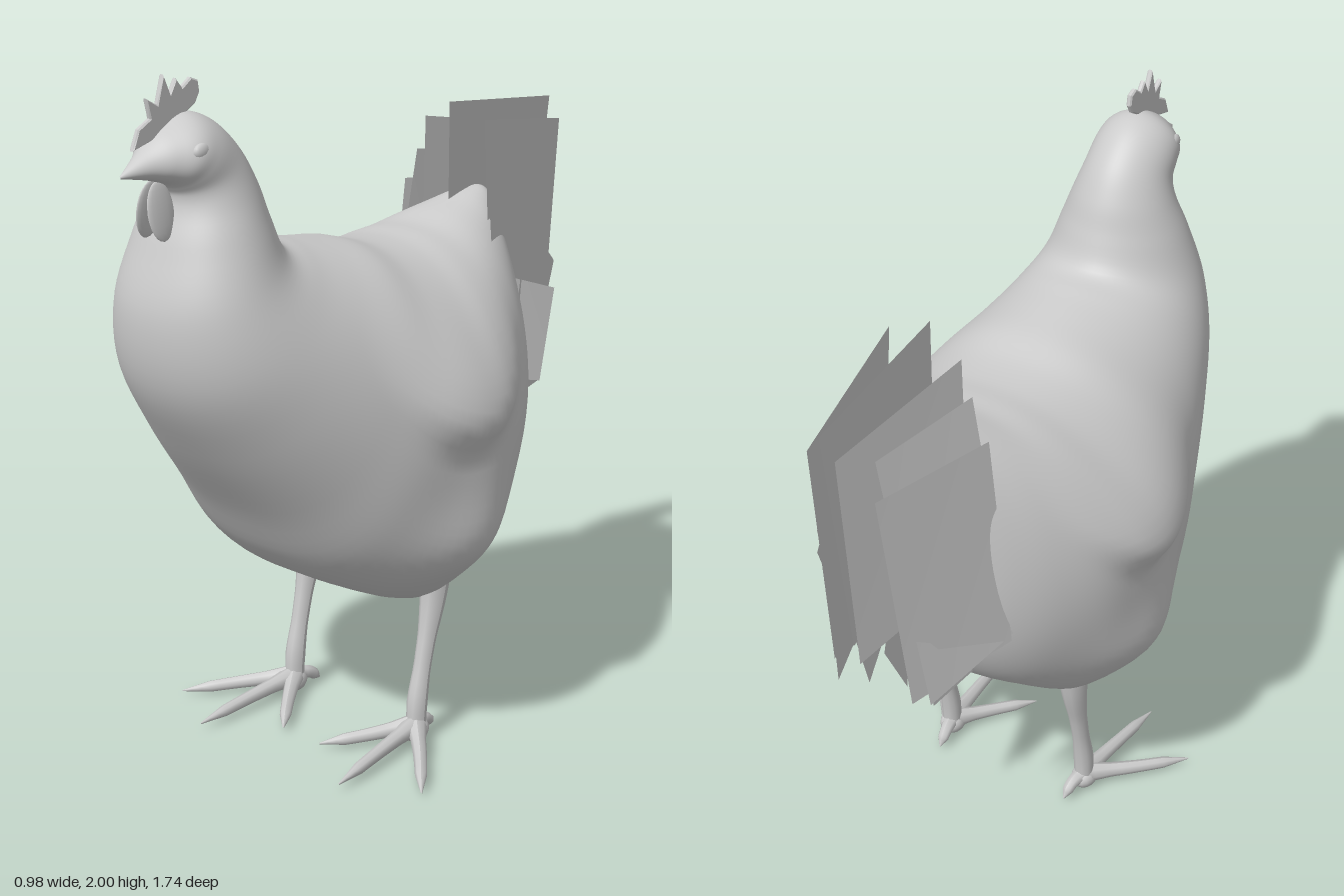
import * as THREE from 'three';

const V = (x, y, z) => new THREE.Vector3(x, y, z);
const bell = t => Math.exp(-t * t);
const smoothstep = THREE.MathUtils.smoothstep;

function part(parent, name, geometry, color = 0xcccccc, side = THREE.FrontSide) {
  const mesh = new THREE.Mesh(geometry, new THREE.MeshStandardMaterial({ color, side }));
  mesh.name = name;
  parent.add(mesh);
  return mesh;
}

// Slices from tail to beak: back z, back y, belly z, belly y, half width
const SLICES = [
  [-0.56, 1.48, -0.555, 1.46, 0.01],
  [-0.525, 1.495, -0.52, 1.32, 0.075],
  [-0.47, 1.49, -0.49, 1.05, 0.165],
  [-0.40, 1.475, -0.44, 0.80, 0.26],
  [-0.33, 1.46, -0.34, 0.63, 0.34],
  [-0.25, 1.44, -0.17, 0.53, 0.41],
  [-0.18, 1.435, 0.00, 0.49, 0.435],
  [-0.10, 1.43, 0.20, 0.51, 0.435],
  [0.00, 1.44, 0.37, 0.62, 0.425],
  [0.10, 1.47, 0.50, 0.80, 0.39],
  [0.20, 1.49, 0.65, 1.00, 0.34],
  [0.30, 1.51, 0.77, 1.20, 0.285],
  [0.38, 1.535, 0.80, 1.40, 0.232],
  [0.42, 1.62, 0.755, 1.57, 0.184],
  [0.45, 1.71, 0.72, 1.66, 0.148],
  [0.50, 1.80, 0.715, 1.70, 0.126],
  [0.58, 1.875, 0.725, 1.72, 0.12],
  [0.66, 1.90, 0.74, 1.735, 0.11],
  [0.735, 1.87, 0.765, 1.745, 0.076],
  [0.795, 1.825, 0.80, 1.755, 0.04],
  [0.87, 1.775, 0.87, 1.77, 0.002],
];

// Folded wing: a swelling with a curved lower lip that fades into the back
function wingSwell(y, z) {
  const dz = z - 0.02;
  const lip = smoothstep(y - (0.91 + 2.2 * dz * dz), 0, 0.12);
  const fade = 1 - smoothstep(y, 1.06, 1.42);
  return 0.065 * lip * fade * (1 - smoothstep(Math.abs(dz), 0, 0.34));
}

// Smooth loft through the slices, with swellings for the thighs and wings
function bodyGeometry(rings = 110, sides = 80) {
  const back = new THREE.CatmullRomCurve3(SLICES.map(s => V(s[4], s[1], s[0])), false, 'catmullrom', 0.5);
  const belly = new THREE.CatmullRomCurve3(SLICES.map(s => V(0, s[3], s[2])), false, 'catmullrom', 0.5);
  const pos = [], index = [];
  for (let i = 0; i <= rings; i++) {
    const a = back.getPoint(i / rings), b = belly.getPoint(i / rings);
    const w = Math.max(a.x, 0.001);
    const roundness = 0.78 + 0.14 * smoothstep(b.z, 0.45, 0.75);
    for (let j = 0; j < sides; j++) {
      const phi = (j / sides) * Math.PI * 2, s = Math.sin(phi);
      const u = Math.pow((1 - Math.cos(phi)) / 2, 0.85);
      let x = w * Math.sign(s) * Math.pow(Math.abs(s), roundness);
      let y = a.y + (b.y - a.y) * u;
      const z = a.z + (b.z - a.z) * u;
      x *= 1 + 0.25 * bell((y - 0.59) / 0.17) * bell((z - 0.02) / 0.25);
      x += Math.sign(x) * wingSwell(y, z) * Math.min(1, Math.abs(x) / 0.25);
      if (y < 0.8) {
        const near = bell((Math.abs(x) - 0.23) / 0.13) * bell((z + 0.03) / 0.2);
        y -= 0.07 * near * Math.min(1, (0.8 - y) / 0.2);
      }
      pos.push(x, y, z);
      if (i < rings) {
        const k = (j + 1) % sides, p = i * sides, q = p + sides;
        index.push(p + j, q + j, p + k, p + k, q + j, q + k);
      }
    }
  }
  const g = new THREE.BufferGeometry();
  g.setAttribute('position', new THREE.Float32BufferAttribute(pos, 3));
  g.setIndex(index);
  g.computeVertexNormals();
  return g;
}

// Tube whose radius follows a list of values along its path
function taperedTube(points, radii, segments = 16, sides = 10) {
  const path = new THREE.CatmullRomCurve3(points);
  const g = new THREE.TubeGeometry(path, segments, 1, sides);
  const pos = g.attributes.position, v = V(0, 0, 0);
  for (let n = 0; n < pos.count; n++) {
    const t = Math.floor(n / (sides + 1)) / segments;
    const f = t * (radii.length - 1), i = Math.min(Math.floor(f), radii.length - 2);
    const r = THREE.MathUtils.lerp(radii[i], radii[i + 1], f - i);
    const c = path.getPointAt(t);
    v.fromBufferAttribute(pos, n).sub(c).multiplyScalar(r).add(c);
    pos.setXYZ(n, v.x, v.y, v.z);
  }
  g.computeVertexNormals();
  return g;
}

// Tail cards: four [z, y] corners clockwise from front top, then x at front, x at back, sideways lean at the bottom
const FEATHERS = [
  [-0.38, 1.76, -0.87, 1.70, -0.82, 1.05, -0.42, 1.10, 0.01, 0.00, -0.03],
  [-0.40, 1.72, -0.86, 1.64, -0.79, 0.95, -0.44, 1.00, 0.12, 0.045, 0.01],
  [-0.34, 1.58, -0.80, 1.54, -0.76, 0.85, -0.42, 0.88, 0.18, 0.07, 0.00],
  [-0.41, 1.70, -0.84, 1.62, -0.85, 1.03, -0.46, 1.10, -0.10, -0.02, -0.05],
  [-0.43, 1.50, -0.77, 1.48, -0.73, 0.84, -0.42, 0.88, -0.19, -0.08, -0.06],
  [-0.41, 1.60, -0.72, 1.56, -0.69, 0.82, -0.41, 0.90, -0.13, -0.05, -0.12],
  [-0.54, 1.42, -0.75, 1.24, -0.62, 0.92, -0.45, 0.96, 0.17, 0.12, 0.02],
  [-0.47, 1.26, -0.63, 1.20, -0.57, 0.93, -0.44, 0.96, 0.16, 0.21, 0.00],
  [-0.44, 1.00, -0.70, 0.94, -0.68, 0.80, -0.41, 0.87, 0.14, 0.05, -0.02],
  [-0.44, 0.88, -0.58, 0.82, -0.48, 0.63, -0.36, 0.70, 0.12, 0.05, 0.00],
  [-0.43, 0.90, -0.56, 0.84, -0.50, 0.62, -0.38, 0.68, -0.10, -0.05, 0.00],
];

function featherGeometry([z1, y1, z2, y2, z3, y3, z4, y4, xf, xb, lean]) {
  const g = new THREE.BufferGeometry();
  g.setAttribute('position', new THREE.Float32BufferAttribute(
    [xf, y1, z1, xb, y2, z2, xb + lean, y3, z3, xf + lean, y4, z4], 3));
  g.setIndex([0, 1, 2, 0, 2, 3]);
  g.computeVertexNormals();
  return g;
}

// Thin serrated comb standing along the top of the head
function combGeometry() {
  const outline = [[0.83, 1.83], [0.81, 1.88], [0.77, 1.90], [0.78, 1.95], [0.745, 1.93], [0.722, 2.0],
    [0.70, 1.95], [0.68, 1.985], [0.66, 1.96], [0.63, 1.98], [0.605, 1.97], [0.60, 1.94], [0.615, 1.915],
    [0.66, 1.89], [0.75, 1.85]];
  const shape = new THREE.Shape(outline.map(([z, y]) => new THREE.Vector2(-z, y)));
  const g = new THREE.ExtrudeGeometry(shape, {
    depth: 0.008, bevelEnabled: true, bevelThickness: 0.004, bevelSize: 0.004, bevelOffset: -0.004, bevelSegments: 1,
  });
  return g.translate(0, 0, -0.004).rotateY(Math.PI / 2);
}

export function createModel() {
  const model = new THREE.Group();
  model.name = 'hen';
  part(model, 'body', bodyGeometry());
  part(model, 'comb', combGeometry());

  const tail = new THREE.Group();
  tail.name = 'tail';
  model.add(tail);
  for (const f of FEATHERS) part(tail, 'tailFeather', featherGeometry(f), 0xcccccc, THREE.DoubleSide);

  for (const [s, label] of [[1, 'left'], [-1, 'right']]) {
    // Eye and wattle
    const eye = part(model, label + 'Eye', new THREE.SphereGeometry(1, 16, 12));
    eye.scale.set(0.015, 0.022, 0.028);
    eye.position.set(s * 0.098, 1.82, 0.69);
    const wattle = part(model, label + 'Wattle', new THREE.SphereGeometry(1, 16, 12));
    wattle.scale.set(0.009, 0.075, 0.044);
    wattle.position.set(s * 0.02, 1.672, 0.758);
    wattle.rotation.z = s * 0.15;

    // Leg with three front toes and a spur
    const leg = new THREE.Group();
    leg.name = label + 'Leg';
    model.add(leg);
    const x = s * 0.235;
    part(leg, 'shank', taperedTube(
      [V(x, 0.5, -0.06), V(x, 0.42, -0.05), V(x, 0.25, -0.012), V(x, 0.12, 0.015), V(x, 0.03, 0.02)],
      [0.045, 0.036, 0.027, 0.025, 0.03, 0.028]));
    const toes = [
      ['innerToe', [0.16, 0.035, 0.13], [0.07, 0.022, 0.25]],
      ['middleToe', [0.25, 0.04, 0.2], [0.265, 0.025, 0.39]],
      ['outerToe', [0.34, 0.035, 0.13], [0.46, 0.018, 0.27]],
      ['backToe', [0.225, 0.045, -0.03], [0.22, 0.012, -0.075]],
    ];
    for (const [name, mid, tip] of toes) {
      part(leg, name, taperedTube(
        [V(x, 0.05, 0.02), V(s * mid[0], mid[1], mid[2]), V(s * tip[0], tip[1], tip[2])],
        [0.032, 0.022, 0.019, 0.017, 0.002], 12, 8));
    }
    const pad = part(leg, 'footPad', new THREE.SphereGeometry(1, 16, 12));
    pad.scale.set(0.038, 0.036, 0.046);
    pad.position.set(x, 0.037, 0.025);
  }
  return model;
}
